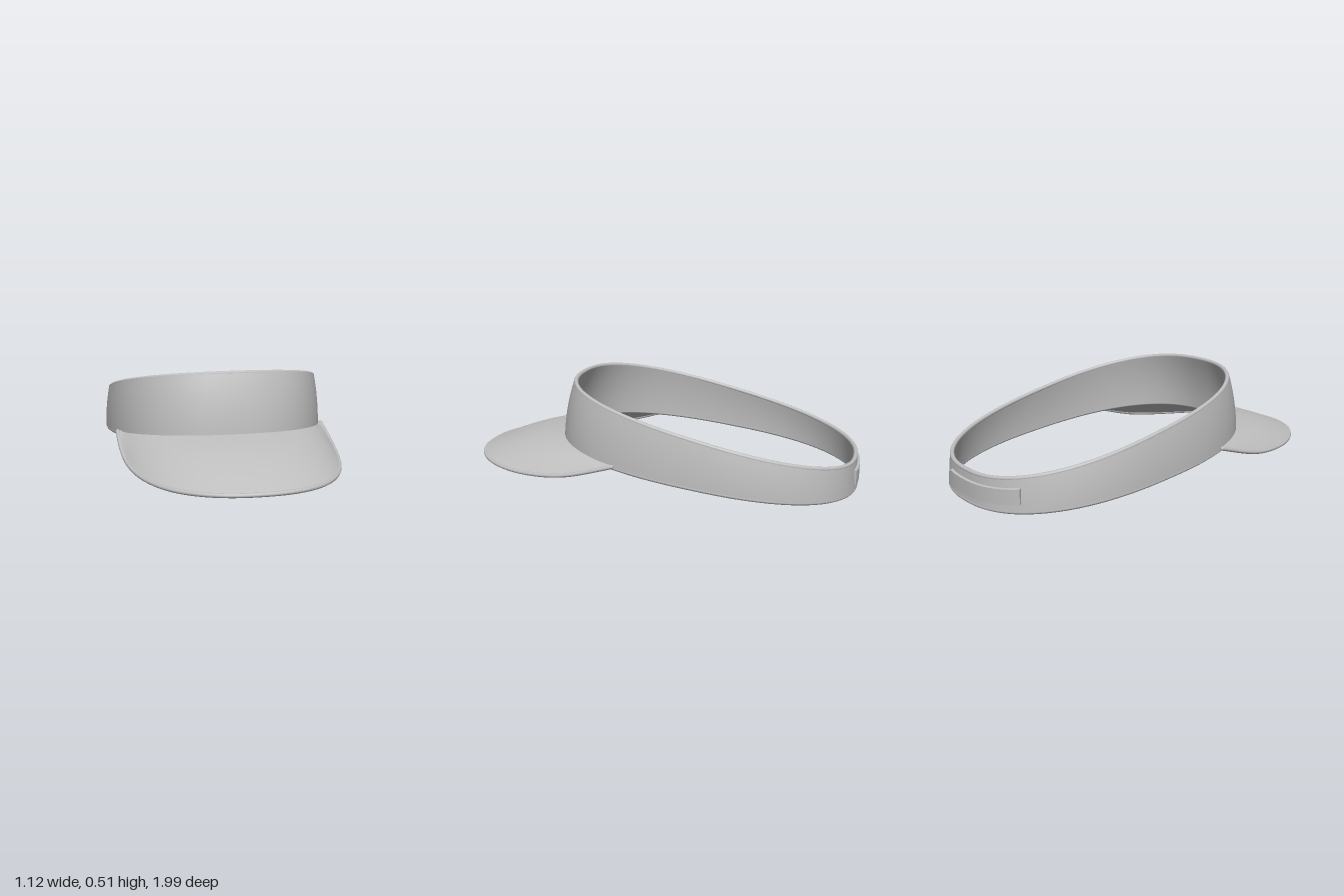
import * as THREE from 'three';
import { toCreasedNormals } from 'three/addons/utils/BufferGeometryUtils.js';

const CENTRE = -0.25; // z of the widest point of the headband
const power = (v, p) => Math.sign(v) * Math.abs(v) ** p;
const lerp = THREE.MathUtils.lerp;

// Point on the headband: angle t (PI/2 = front), height f (0 bottom, 1 top), inset from the outside
function bandPoint(t, f, inset = 0, lift = 0) {
  const s = Math.sin(t);
  const front = 0.77 - 0.02 * f - 0.04 * f * f;
  const back = 0.74 - 0.01 * f;
  const x = (0.56 - 0.02 * f * f - inset) * power(Math.cos(t), 2 / 2.4);
  const z = CENTRE + ((s > 0 ? front : back) - inset) * power(s, 2 / 2.4);
  const bottom = 0.011 + (z + 0.985) * 0.128;
  const top = 0.148 + (z + 0.98) * 0.243;
  return new THREE.Vector3(x, lerp(bottom, top, f) + lift, z);
}

// Skin a row of closed cross-sections
function sweep(section, t0, t1, steps, caps = false) {
  const positions = [], index = [];
  let n = 0;
  for (let i = 0; i <= steps; i++) {
    const points = section(lerp(t0, t1, i / steps));
    n = points.length;
    points.forEach((p) => positions.push(p.x, p.y, p.z));
  }
  for (let i = 0; i < steps; i++) {
    for (let j = 0; j < n; j++) {
      const a = i * n + j, b = i * n + (j + 1) % n;
      index.push(a, b, a + n, b, b + n, a + n);
    }
  }
  if (caps) {
    const e = steps * n;
    for (let j = 1; j < n - 1; j++) index.push(0, j + 1, j, e, e + j, e + j + 1);
  }
  const geometry = new THREE.BufferGeometry();
  geometry.setAttribute('position', new THREE.Float32BufferAttribute(positions, 3));
  geometry.setIndex(index);
  return toCreasedNormals(geometry, 0.7);
}

// Brim edge: plan outline, with its height following z
const edgeHeight = new THREE.SplineCurve([
  [0.13, 0.165], [0.37, 0.098], [0.58, 0.074], [0.8, 0.071], [0.99, 0.081],
].map(([z, y]) => new THREE.Vector2(z, y)));

function heightAt(z) {
  let lo = 0, hi = 1;
  for (let k = 0; k < 25; k++) {
    const mid = (lo + hi) / 2;
    if (edgeHeight.getPoint(mid).x < z) lo = mid; else hi = mid;
  }
  return edgeHeight.getPoint(lo).y;
}

function brimEdge(t) {
  const x = 0.527 * power(Math.cos(t), 2 / 2.35);
  const z = 0.13 + 0.86 * Math.max(0, Math.sin(t)) ** (2 / 2.35);
  return new THREE.Vector3(x, heightAt(z), z);
}

// Point on the brim: s = 0 at the headband, 1 at the outer edge
function brimPoint(t, s, drop) {
  const inner = bandPoint(lerp(0.444, Math.PI - 0.444, t / Math.PI), 0.04, 0.008);
  const p = inner.lerp(brimEdge(t), s);
  p.y += 0.02 * Math.sin(Math.PI * s) * Math.sin(t) - drop;
  return p;
}

export function createModel() {
  const model = new THREE.Group();
  const fabric = new THREE.MeshStandardMaterial({ color: 0xbfbfbf });
  fabric.name = 'light grey fabric';
  const add = (name, geometry) => {
    const mesh = new THREE.Mesh(geometry, fabric);
    mesh.name = name;
    model.add(mesh);
  };

  // Headband, tall at the front and low at the back
  const rows = [0, 1, 2, 3, 4, 5, 6, 7, 8].map((j) => j / 8);
  add('headband', sweep((t) => [
    ...rows.map((f) => bandPoint(t, f)),
    ...[...rows].reverse().map((f) => bandPoint(t, f, 0.02)),
  ], 0, Math.PI * 2, 128));

  // Rounded bindings on both rims
  for (const [name, f] of [['bottomBinding', 0], ['topBinding', 1]]) {
    const points = [];
    for (let i = 0; i < 96; i++) points.push(bandPoint(i / 96 * Math.PI * 2, f, 0.01));
    const path = new THREE.CatmullRomCurve3(points, true);
    add(name, new THREE.TubeGeometry(path, 160, 0.011, 10, true));
  }

  // Curved brim with a bound edge
  const across = [0, 1, 2, 3, 4, 5, 6, 7, 8, 9, 10].map((j) => j / 10);
  add('brim', sweep((t) => [
    ...[...across].reverse().map((s) => brimPoint(t, s, -0.006)),
    ...across.map((s) => brimPoint(t, s, 0.006)),
  ], 0, Math.PI, 80));

  const edge = [];
  for (let i = 0; i <= 64; i++) edge.push(brimEdge(i / 64 * Math.PI));
  add('brimBinding', new THREE.TubeGeometry(new THREE.CatmullRomCurve3(edge), 120, 0.01, 10));
  for (const end of [edge[0], edge[64]]) {
    const cap = new THREE.SphereGeometry(0.01, 10, 8);
    cap.translate(end.x, end.y, end.z);
    add('brimBindingEnd', cap);
  }

  // Overlapping fastening strap on the back
  add('backStrap', sweep((t) => [
    bandPoint(t, 0.5, -0.01, -0.036), bandPoint(t, 0.5, -0.01, 0.036),
    bandPoint(t, 0.5, 0.008, 0.036), bandPoint(t, 0.5, 0.008, -0.036),
  ], -2.143, -1.376, 24, true));

  return model;
}
